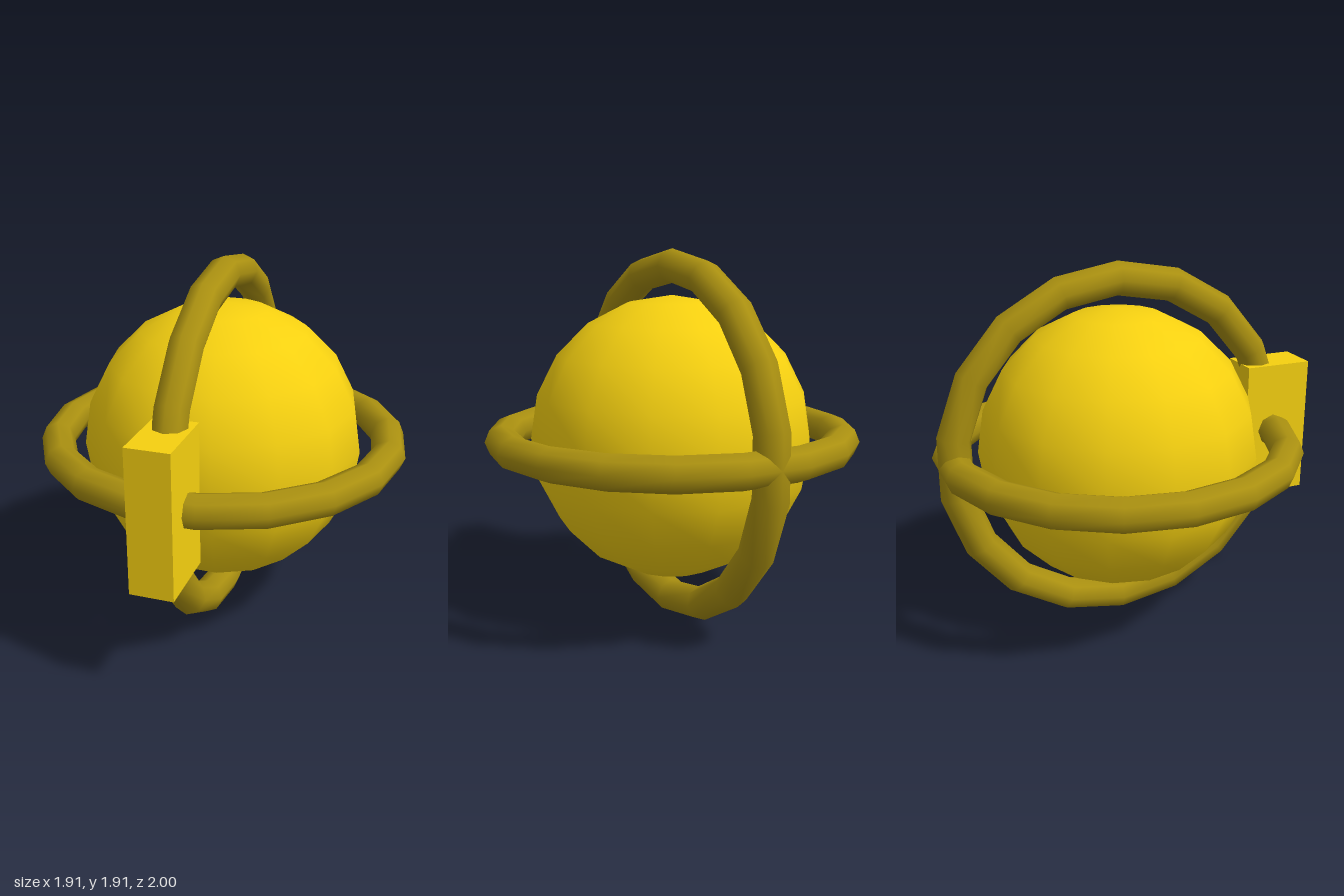
import * as THREE from 'three';

export function createModel() {
  const model = new THREE.Group();
  const centre = new THREE.Vector3(0, 0.963, -0.058);
  const yellow = new THREE.MeshStandardMaterial({ color: 0xf5d010 });
  const darkGold = new THREE.MeshStandardMaterial({ color: 0xaa9010 });

  function add(name, geometry, material, position) {
    const mesh = new THREE.Mesh(geometry, material);
    mesh.name = name;
    mesh.position.copy(position);
    model.add(mesh);
  }

  // Central ball
  add('ball', new THREE.SphereGeometry(0.725, 14, 10), yellow, centre);

  // Two crossing rings, each with a flat side at the front and back
  const ring = () => new THREE.TorusGeometry(0.87, 0.086, 8, 18);
  add('horizontalRing', ring().rotateX(Math.PI / 2), darkGold, centre);
  add('verticalRing', ring().rotateZ(Math.PI / 2).rotateY(Math.PI / 2), darkGold, centre);

  // Block clasping the front crossing
  add('frontBlock', new THREE.BoxGeometry(0.216, 0.724, 0.36), yellow, new THREE.Vector3(0, 0.963, 0.82));

  return model;
}
